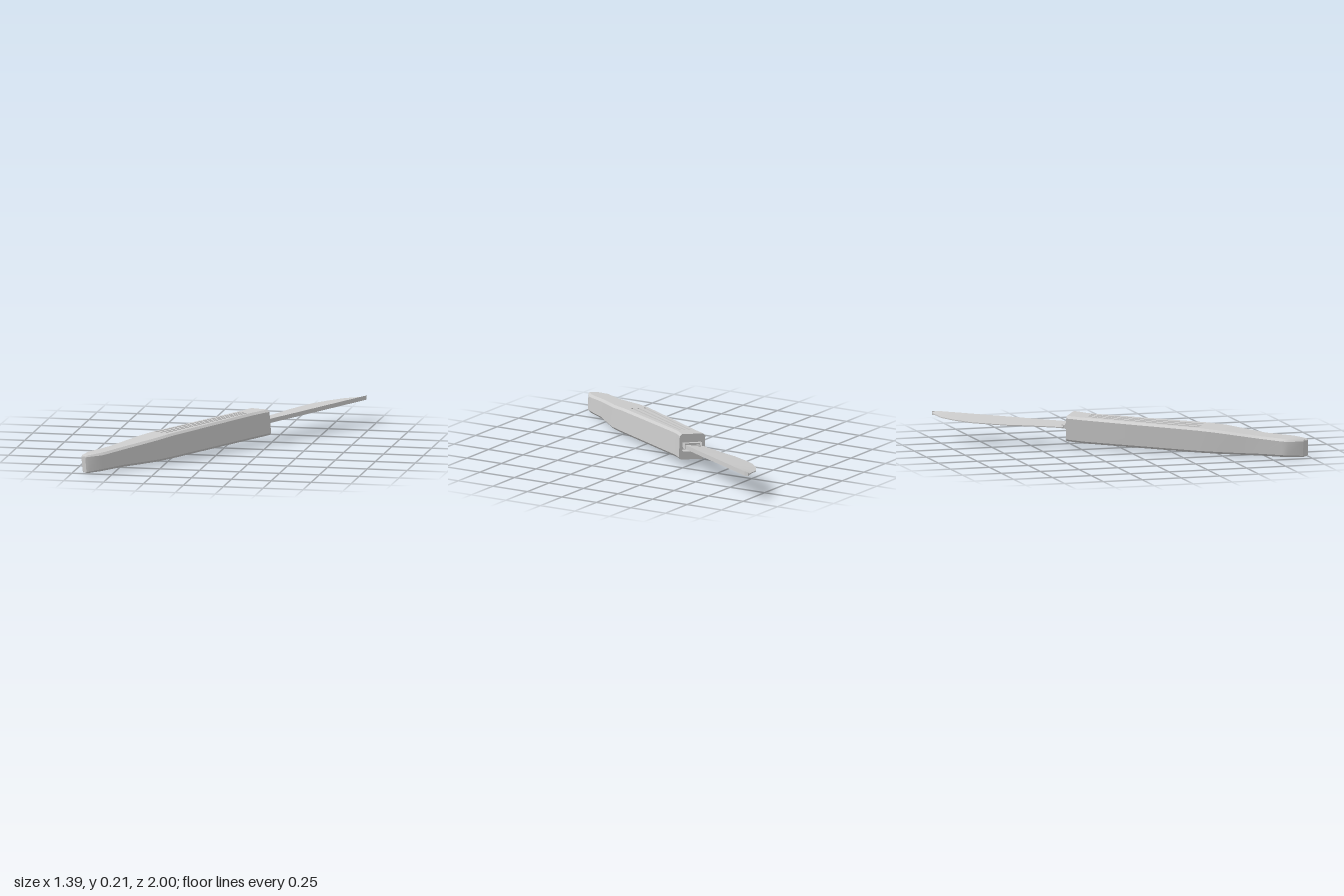
import * as THREE from 'three';
import { toCreasedNormals } from 'three/addons/utils/BufferGeometryUtils.js';

const material = new THREE.MeshStandardMaterial({ color: 0xcccccc });

// Skin a list of equal-sized closed rings and cap both ends.
function loft(rings) {
  const n = rings[0].length, pos = rings.flat(2), index = [];
  for (let i = 0; i < rings.length - 1; i++) {
    for (let j = 0; j < n; j++) {
      const a = i * n + j, b = i * n + (j + 1) % n;
      index.push(a, b, a + n, b, b + n, a + n);
    }
  }
  [[0, true], [rings.length - 1, false]].forEach(([r, flip]) => {
    const c = pos.length / 3;
    for (let k = 0; k < 3; k++) pos.push(rings[r].reduce((sum, p) => sum + p[k], 0) / n);
    for (let j = 0; j < n; j++) {
      const a = r * n + j, b = r * n + (j + 1) % n;
      index.push(c, flip ? b : a, flip ? a : b);
    }
  });
  const geo = new THREE.BufferGeometry();
  geo.setAttribute('position', new THREE.Float32BufferAttribute(pos, 3));
  geo.setIndex(index);
  return toCreasedNormals(geo, 0.45);
}

function addMesh(parent, name, geometry) {
  const mesh = new THREE.Mesh(geometry, material);
  mesh.name = name;
  parent.add(mesh);
}

// Chamfered handle section with three grooves running along the top.
function handleRing([s, l, r, bottom, top, depth = 0]) {
  const w = r - l, c = Math.min(0.014, w * 0.15);
  const k = THREE.MathUtils.clamp((s + 0.52) / 0.715, 0, 1);
  const ring = [[s, top - c, l], [s, top, l + c]];
  [[0.22, 0.33], [0.456, 0.526], [0.663, 0.72]].forEach(([back, front]) => {
    const t = l + w * THREE.MathUtils.lerp(back, front, k), h = w * 0.035;
    ring.push([s, top, t - h], [s, top - depth, t - h], [s, top - depth, t + h], [s, top, t + h]);
  });
  ring.push([s, top, r - c], [s, top - c, r], [s, bottom + c, r],
    [s, bottom, r - c], [s, bottom, l + c], [s, bottom + c, l]);
  return ring;
}

export function createModel() {
  const group = new THREE.Group();
  const knife = new THREE.Group();
  knife.name = 'knife';
  group.add(knife);

  // Handle sections: position, left, right, bottom, top, groove depth
  const rings = [
    [-1.2, -0.005, 0.02, 0.06, 0.16],
    [-1.185, -0.03, 0.032, 0.056, 0.166],
    [-1.1, -0.074, 0.063, 0.055, 0.168],
    [-1.06, -0.076, 0.064, 0.054, 0.168],
    [-0.92, -0.073, 0.06, 0.049, 0.171],
    [-0.8, -0.08, 0.079, 0.044, 0.178],
    [-0.65, -0.09, 0.102, 0.039, 0.187],
    [-0.52, -0.095, 0.096, 0.036, 0.191],
    [-0.52, -0.095, 0.096, 0.036, 0.191, 0.014],
    [0.195, -0.095, 0.056, 0.026, 0.188, 0.014],
    [0.195, -0.095, 0.056, 0.026, 0.188],
    [0.24, -0.095, 0.06, 0.027, 0.188],
    [0.28, -0.095, 0.068, 0.028, 0.189],
    [0.322, -0.095, 0.076, 0.03, 0.189],
  ].map(handleRing);

  // Slot sunk into the front face of the handle
  const mouth = rings[rings.length - 1];
  for (const s of [0.322, 0.26]) {
    rings.push(mouth.map(([, y, t]) => [s, 0.11 + (y - 0.11) * 0.38, -0.01 + (t + 0.01) * 0.76]));
  }
  addMesh(knife, 'handle', loft(rings));

  // Blade: thick straight spine on the right, thin curved edge on the left
  const blade = [
    [0.35, -0.078, 0.046], [0.45, -0.092, 0.041], [0.57, -0.113, 0.038],
    [0.686, -0.141, 0.034], [0.8, -0.15, 0.03], [0.913, -0.155, 0.026],
    [1.034, -0.129, 0.022], [1.126, -0.09, 0.019], [1.193, -0.024, 0.017],
    [1.214, -0.003, 0.002],
  ].map(([s, l, r]) => {
    const y = 0.114 - 0.007 * s;
    return [[s, y + 0.003, l], [s, y + 0.013, r], [s, y - 0.013, r], [s, y - 0.003, l]];
  });
  addMesh(knife, 'blade', loft(blade));

  // Tang and the small collar where the blade enters the handle
  const tang = new THREE.BoxGeometry(0.11, 0.024, 0.085);
  tang.translate(0.31, 0.111, -0.008);
  addMesh(knife, 'tang', tang);
  const collar = new THREE.BoxGeometry(0.03, 0.036, 0.1);
  collar.translate(0.325, 0.116, -0.004);
  addMesh(knife, 'collar', collar);

  // Lay the knife diagonally with a slight pitch and roll
  const along = new THREE.Vector3(0.566, 0.045, -0.824).normalize();
  const across = new THREE.Vector3(0.824, 0.07, 0.566).normalize();
  const up = new THREE.Vector3().crossVectors(across, along).normalize();
  across.crossVectors(along, up);
  knife.applyMatrix4(new THREE.Matrix4().makeBasis(along, up, across).setPosition(0.009, 0, 0));
  return group;
}
